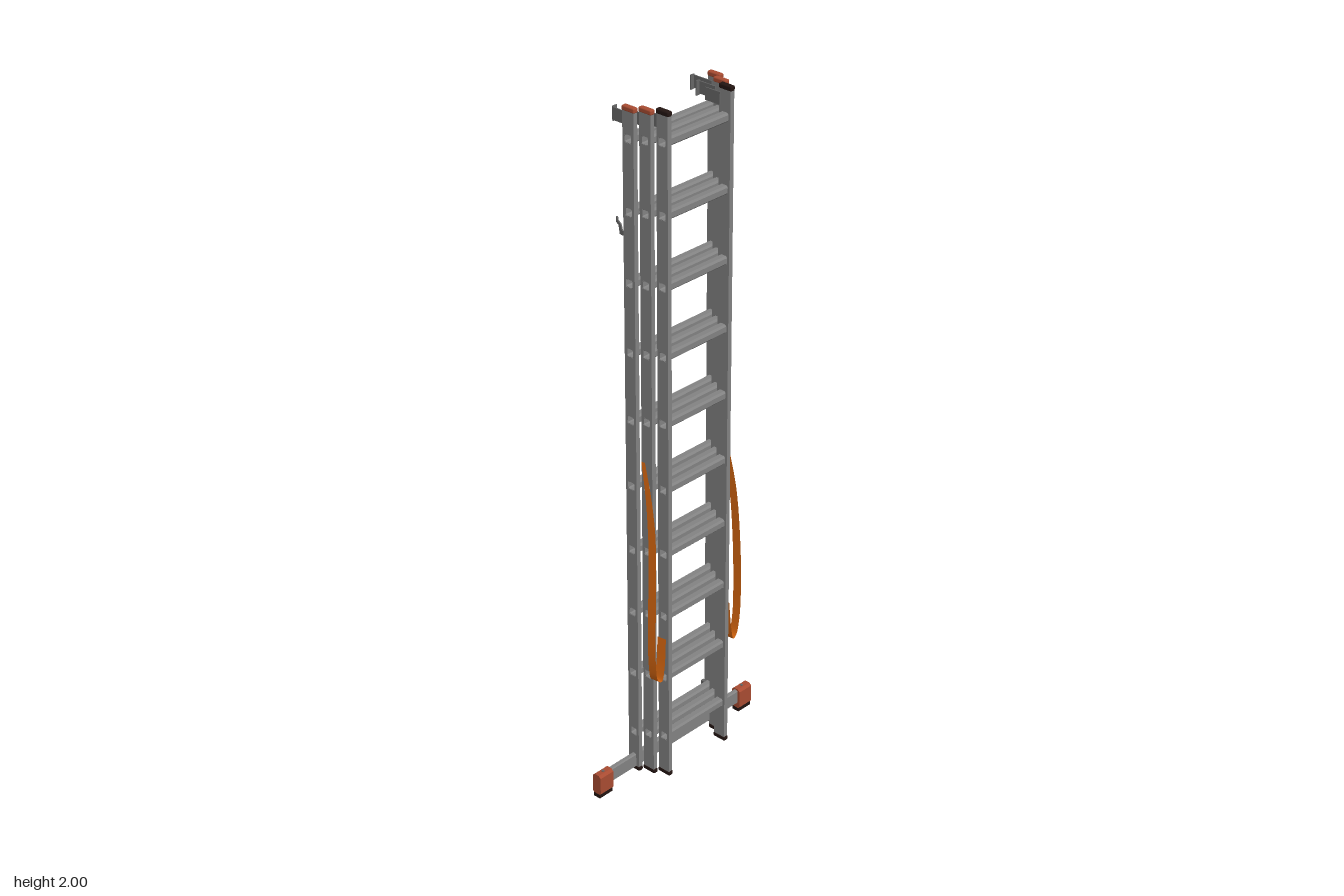
import * as THREE from 'three';
import { RoundedBoxGeometry } from 'three/addons/geometries/RoundedBoxGeometry.js';

const mat = (name, color, side = THREE.FrontSide) => {
  const m = new THREE.MeshStandardMaterial({ color, side });
  m.name = name;
  return m;
};

// Rectangle outline with chamfered corners
function rectPath(cx, cy, w, h, c, Type = THREE.Path) {
  const x = w / 2, y = h / 2;
  const pts = [[-x + c, -y], [x - c, -y], [x, -y + c], [x, y - c], [x - c, y], [-x + c, y], [-x, y - c], [-x, -y + c]];
  return new Type(pts.map(([a, b]) => new THREE.Vector2(cx + a, cy + b)));
}

// Extrude a (z, y) outline across x, centred on x = 0
function extrudeX(shape, width) {
  const g = new THREE.ExtrudeGeometry(shape, { depth: width, bevelEnabled: false });
  g.translate(0, 0, -width / 2);
  g.rotateY(-Math.PI / 2);
  return g;
}

// Flat band following a curve, spread along z
function ribbon(points, halfWidths) {
  const curve = new THREE.CatmullRomCurve3(points.map(p => new THREE.Vector3(...p)));
  const n = 40, pos = [], idx = [];
  for (let i = 0; i <= n; i++) {
    const t = i / n, p = curve.getPoint(t);
    const f = t * (halfWidths.length - 1), k = Math.min(Math.floor(f), halfWidths.length - 2);
    const w = THREE.MathUtils.lerp(halfWidths[k], halfWidths[k + 1], f - k);
    pos.push(p.x, p.y, p.z - w, p.x + w * 0.25, p.y, p.z + w);
    if (i < n) idx.push(2 * i, 2 * i + 1, 2 * i + 2, 2 * i + 1, 2 * i + 3, 2 * i + 2);
  }
  const g = new THREE.BufferGeometry();
  g.setAttribute('position', new THREE.Float32BufferAttribute(pos, 3));
  g.setIndex(idx);
  g.computeVertexNormals();
  return g;
}

export function createModel() {
  const metal = mat('aluminium', 0x828282);
  const steel = mat('bracket steel', 0x666666);
  const red = mat('red plastic', 0xa84c32);
  const black = mat('black rubber', 0x231512);
  const orange = mat('orange webbing', 0xd2640f, THREE.DoubleSide);

  const model = new THREE.Group();
  model.name = 'extensionLadder';
  const add = (parent, name, geo, material, x = 0, y = 0, z = 0) => {
    const m = new THREE.Mesh(geo, material);
    m.name = name;
    m.position.set(x, y, z);
    parent.add(m);
    return m;
  };
  const box = (w, h, d) => new THREE.BoxGeometry(w, h, d);

  const rungY = Array.from({ length: 10 }, (_, i) => 0.145 + i * 0.1967);

  // Stile: slim rail pierced by an opening at every rung
  const rail = rectPath(0, 1.005, 0.038, 1.97, 0.003, THREE.Shape);
  rungY.forEach(y => rail.holes.push(rectPath(0, y, 0.023, 0.023, 0.002)));
  const stileGeo = extrudeX(rail, 0.0135);
  const capGeo = new RoundedBoxGeometry(0.016, 0.014, 0.043, 2, 0.004);

  // Three nested sections, widest at the back
  const sections = [
    { name: 'baseSection', x: 0.1545, z: -0.016, cap: red },
    { name: 'middleSection', x: 0.1345, z: 0.022, cap: red },
    { name: 'frontSection', x: 0.1135, z: 0.06, cap: black },
  ];
  for (const s of sections) {
    const g = new THREE.Group();
    g.name = s.name;
    model.add(g);
    for (const side of [-1, 1]) {
      add(g, 'stile', stileGeo, metal, side * s.x, 0, s.z);
      add(g, 'topCap', capGeo, s.cap, side * s.x, 1.993, s.z);
      add(g, 'bottomCap', capGeo, black, side * s.x, 0.024, s.z);
    }
    // Hollow rungs, open at both ends
    const tube = rectPath(0, 0, 0.025, 0.025, 0.005, THREE.Shape);
    tube.holes.push(rectPath(0, 0, 0.021, 0.021, 0.003));
    const rungGeo = extrudeX(tube, 2 * s.x + 0.012);
    rungY.forEach(y => add(g, 'rung', rungGeo, metal, 0, y, s.z));
  }

  // Stabiliser bar with plastic feet
  const bar = new THREE.Group();
  bar.name = 'stabiliser';
  model.add(bar);
  add(bar, 'crossBar', extrudeX(rectPath(0, 0, 0.015, 0.044, 0.003, THREE.Shape), 0.56), metal, 0, 0.049, -0.015);
  for (const side of [-1, 1]) {
    add(bar, 'footBlock', extrudeX(rectPath(0, 0, 0.03, 0.066, 0.007, THREE.Shape), 0.05), red, side * 0.285, 0.042, -0.015);
    add(bar, 'footPad', box(0.05, 0.012, 0.022), black, side * 0.285, 0.006, -0.015);
    add(bar, 'footScrew', new THREE.CylinderGeometry(0.004, 0.004, 0.003, 12), steel, side * 0.285, 0.0755, -0.015);
  }

  // Small J-shaped catch outline in (z, y)
  const hook = new THREE.Shape([[-0.03, 0.025], [-0.03, -0.005], [-0.05, -0.02], [-0.06, -0.018], [-0.064, 0.005],
    [-0.073, 0.012], [-0.073, 0.026], [-0.069, 0.026], [-0.067, 0.017], [-0.057, 0.01], [-0.052, -0.008],
    [-0.044, -0.004], [-0.038, 0.012], [-0.038, 0.025]].map(p => new THREE.Vector2(...p)));
  const hookGeo = extrudeX(hook, 0.004);

  for (const side of [-1, 1]) {
    const g = new THREE.Group();
    g.name = side > 0 ? 'leftFittings' : 'rightFittings';
    model.add(g);

    // Guide brackets at the top of each section: side plate and inward lip
    const brackets = [[0.146, -0.083, -0.02], [0.126, -0.046, 0.01], [0.1055, -0.005, 0.045]];
    brackets.forEach(([x, z0, z1], i) => {
      add(g, 'guidePlate', box(0.003, 0.034, z1 - z0), steel, side * x, 1.96, (z0 + z1) / 2);
      if (i < 2) add(g, 'guideLip', box(0.014, 0.04, 0.003), steel, side * (x - 0.006), 1.96, z0 + 0.0015);
    });

    // Locking hook and lower catch
    add(g, 'lockHook', hookGeo, steel, side * 0.147, 1.66, 0);
    add(g, 'lowerCatch', box(0.01, 0.02, 0.012), steel, side * 0.142, 0.145, -0.033);

    // Restraint strap hanging outside the stiles and tucking back in
    const path = [[0.148, 1.01, 0.014], [0.154, 0.92, 0.037], [0.16, 0.8, 0.055], [0.167, 0.65, 0.062], [0.171, 0.5, 0.063],
      [0.168, 0.4, 0.062], [0.158, 0.35, 0.06], [0.145, 0.342, 0.06], [0.135, 0.38, 0.06], [0.127, 0.47, 0.058]];
    add(g, 'strap', ribbon(path.map(([x, y, z]) => [side * x, y, z]), [0.006, 0.012, 0.013, 0.012, 0.014, 0.014]), orange);
  }
  return model;
}
